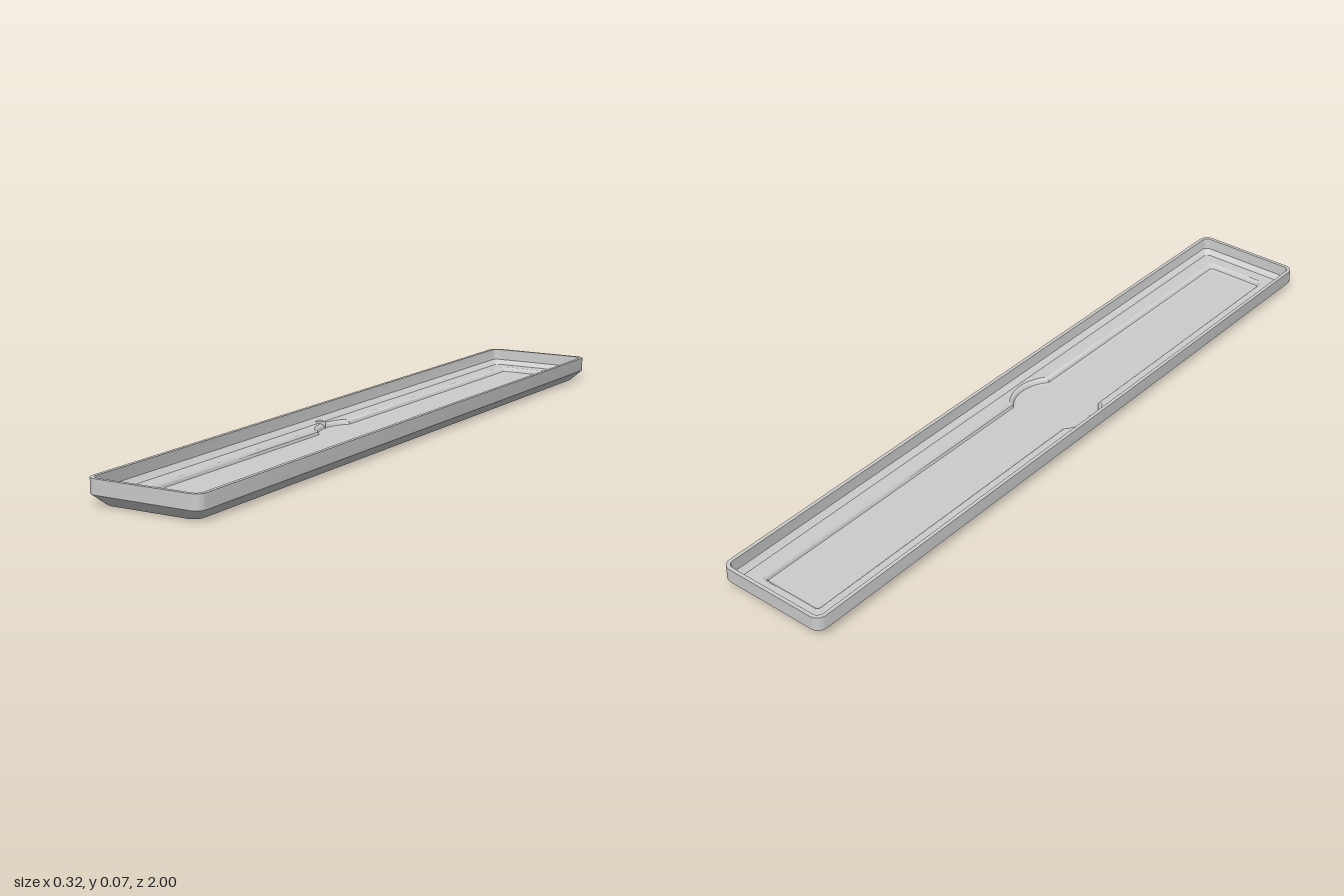
import * as THREE from 'three';
import { toCreasedNormals } from 'three/addons/utils/BufferGeometryUtils.js';

const material = new THREE.MeshStandardMaterial({ color: 0xcccccc });
const BULGE_Y = -0.065; // centre of the round widening, in plan coordinates (y = -z)

// Rounded rectangle in plan, counterclockwise; an optional circle widens both long sides.
function outline(w, l, r, bulge = 0) {
  const points = [];
  const arc = (cx, cy, radius, from, to, steps) => {
    for (let i = 0; i <= steps; i++) {
      const a = from + ((to - from) * i) / steps;
      points.push(new THREE.Vector2(cx + radius * Math.cos(a), cy + radius * Math.sin(a)));
    }
  };
  const q = Math.PI / 2;
  const open = bulge ? Math.acos(w / bulge) : 0;
  arc(w - r, -l + r, r, -q, 0, 8);
  if (bulge) arc(0, BULGE_Y, bulge, -open, open, 20);
  arc(w - r, l - r, r, 0, q, 8);
  arc(-w + r, l - r, r, q, 2 * q, 8);
  if (bulge) arc(0, BULGE_Y, bulge, Math.PI - open, Math.PI + open, 20);
  arc(-w + r, -l + r, r, 2 * q, 3 * q, 8);
  return points;
}

// Skin through successive outlines, each at its own height.
function loft(rings) {
  const n = rings[0].points.length;
  const positions = [];
  const index = [];
  for (const { points, y } of rings) for (const p of points) positions.push(p.x, y, -p.y);
  for (let k = 0; k < rings.length - 1; k++) {
    for (let i = 0; i < n; i++) {
      const a = k * n + i;
      const b = k * n + ((i + 1) % n);
      index.push(a, b, b + n, a, b + n, a + n);
    }
  }
  const geometry = new THREE.BufferGeometry();
  geometry.setAttribute('position', new THREE.Float32BufferAttribute(positions, 3));
  geometry.setIndex(index);
  return toCreasedNormals(geometry, 0.5);
}

// Flat horizontal face, facing up or down, with an optional hole.
function flat(points, y, hole, down = false) {
  const shape = new THREE.Shape(points);
  if (hole) shape.holes.push(new THREE.Path(hole));
  const geometry = new THREE.ShapeGeometry(shape);
  geometry.rotateX(down ? Math.PI / 2 : -Math.PI / 2);
  return geometry.translate(0, y, 0);
}

export function createModel() {
  const group = new THREE.Group();
  const add = (name, geometry) => {
    const mesh = new THREE.Mesh(geometry, material);
    mesh.name = name;
    group.add(mesh);
  };

  const ledgeY = 0.022;
  const floorY = 0.008;
  const base = outline(0.131, 0.973, 0.025);
  const ledgeOuter = outline(0.132, 0.974, 0.016);
  const recessTop = outline(0.094, 0.94, 0.014, 0.124);
  const recessFloor = outline(0.077, 0.923, 0.008, 0.107);

  // Outer chamfer, upright wall, rim and inner wall
  add('trayWall', loft([
    { points: base, y: 0 },
    { points: outline(0.158, 1, 0.026), y: 0.028 },
    { points: outline(0.158, 1, 0.026), y: 0.066 },
    { points: outline(0.148, 0.99, 0.018), y: 0.066 },
    { points: outline(0.146, 0.988, 0.018), y: 0.035 },
    { points: ledgeOuter, y: ledgeY },
  ]));
  add('trayUnderside', flat(base, 0, null, true));

  // Ledge around the sunken channel
  add('ledge', flat(ledgeOuter, ledgeY, recessTop));
  add('channelWall', loft([
    { points: recessTop, y: ledgeY },
    { points: outline(0.087, 0.933, 0.011, 0.117), y: 0.017 },
    { points: outline(0.084, 0.93, 0.01, 0.114), y: 0.01 },
    { points: recessFloor, y: floorY },
  ]));
  add('channelFloor', flat(recessFloor, floorY));

  // Small pointed marker on the right side of the round widening
  const marker = new THREE.Shape([
    new THREE.Vector2(-0.138, BULGE_Y - 0.012),
    new THREE.Vector2(-0.112, BULGE_Y),
    new THREE.Vector2(-0.138, BULGE_Y + 0.012),
  ]);
  const markerGeometry = new THREE.ExtrudeGeometry(marker, { depth: 0.02, bevelEnabled: false });
  markerGeometry.rotateX(-Math.PI / 2).translate(0, floorY, 0);
  add('marker', markerGeometry);

  return group;
}
